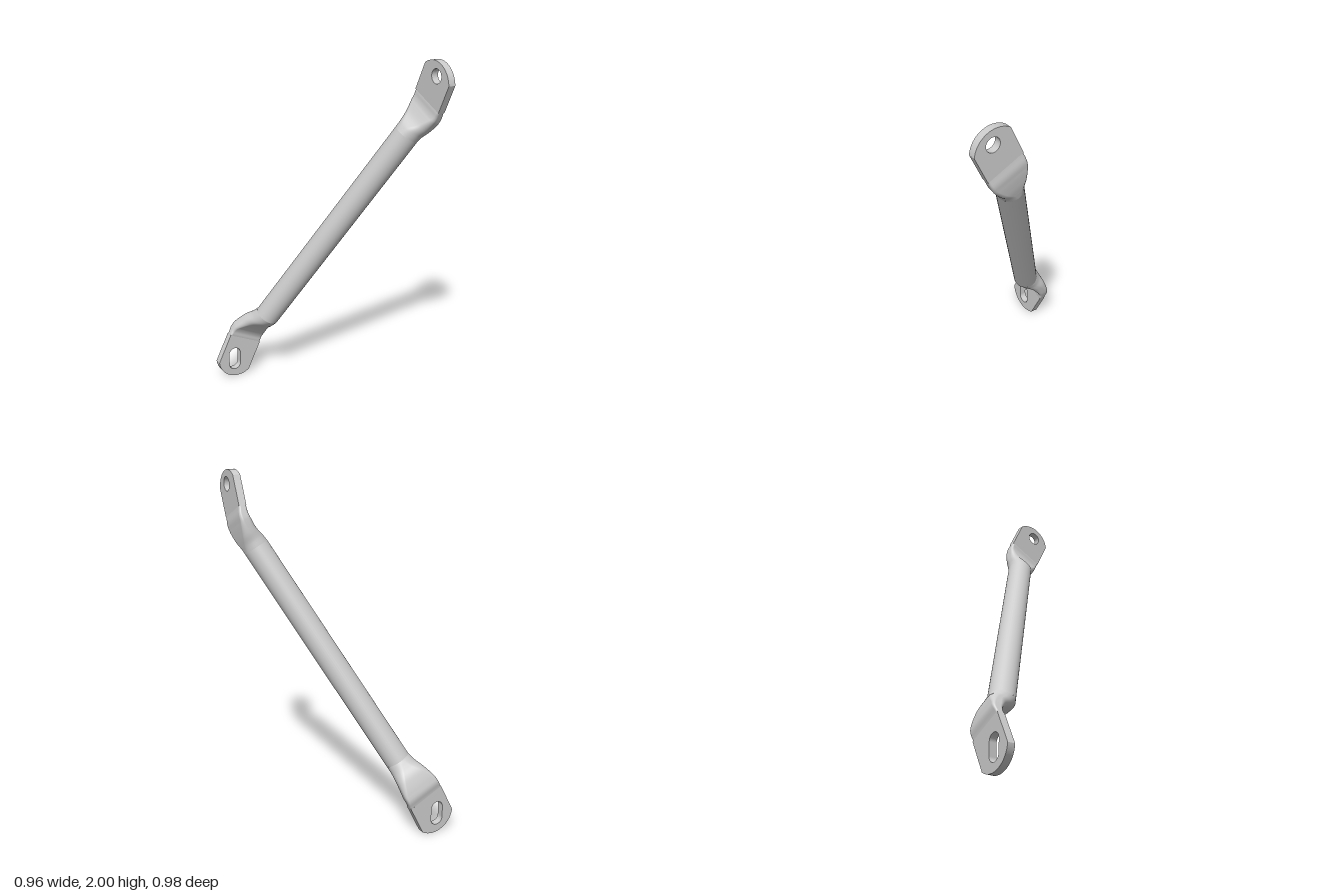
import * as THREE from 'three';

const V = (x, y, z) => new THREE.Vector3(x, y, z);
const RADIUS = 0.0715, HALF_WIDTH = 0.11, HALF_THICK = 0.021;
const TIP_RADIUS = 0.128, NECK = 0.21, SIDES = 40, STEPS = 24;

// tube end -> flat tab: [distance, share of sideways offset, share of tilt], [half width, half depth, corner radius]
const PATH = [[0, 0, 1], [0.034, 0.24, 1.1], [0.08, 0.63, 1.2], [0.145, 0.94, 1.1], [NECK, 1, 0]];
const SECTION = [[RADIUS, RADIUS, RADIUS], [0.076, 0.064, 0.062], [0.092, 0.0465, 0.04],
  [0.108, 0.031, 0.018], [HALF_WIDTH, HALF_THICK, 0.01]];

// squeezed neck, lofted through rounded rectangles along local +y
function neckGeometry(offset, tilt) {
  const path = new THREE.CatmullRomCurve3(PATH.map(p => V(...p)));
  const section = new THREE.CatmullRomCurve3(SECTION.map(p => V(...p)));
  const pos = [], index = [];
  for (let i = 0; i <= STEPS; i++) {
    const p = path.getPoint(i / STEPS), s = section.getPoint(i / STEPS);
    const r = Math.min(s.z, s.y);
    for (let j = 0; j < SIDES; j++) {
      const a = (j + 0.5) / SIDES * Math.PI * 2, c = Math.cos(a), n = Math.sin(a);
      const across = Math.sign(c) * (s.x - r) + r * c;
      const depth = Math.sign(n) * (s.y - r) + r * n;
      const t = tilt * p.z;
      pos.push(across, p.x - depth * Math.sin(t), p.y * offset + depth * Math.cos(t));
      if (i < STEPS) {
        const A = i * SIDES + j, B = i * SIDES + (j + 1) % SIDES;
        index.push(A, B + SIDES, B, A, A + SIDES, B + SIDES);
      }
    }
  }
  const g = new THREE.BufferGeometry();
  g.setAttribute('position', new THREE.Float32BufferAttribute(pos, 3));
  g.setIndex(index);
  g.computeVertexNormals();
  return g;
}

// flat tab with a rounded tip and one round or slotted hole
function tabGeometry(offset, tipCentre, hole) {
  const spread = Math.asin(HALF_WIDTH / TIP_RADIUS), q = Math.PI / 2;
  const shape = new THREE.Shape();
  shape.moveTo(-HALF_WIDTH, NECK);
  shape.lineTo(HALF_WIDTH, NECK);
  shape.absarc(0, tipCentre, TIP_RADIUS, q - spread, q + spread, false);
  shape.closePath();
  const { x, y, angle, radius, half } = hole;
  const dx = Math.cos(angle) * half, dy = Math.sin(angle) * half;
  const cut = new THREE.Path();
  cut.absarc(x + dx, y + dy, radius, angle - q, angle + q, false);
  cut.absarc(x - dx, y - dy, radius, angle + q, angle + 3 * q, false);
  cut.closePath();
  shape.holes.push(cut);
  const g = new THREE.ExtrudeGeometry(shape, { depth: HALF_THICK * 2, bevelEnabled: false, curveSegments: 20 });
  return g.translate(0, 0, offset - HALF_THICK);
}

export function createModel() {
  const model = new THREE.Group();
  const material = new THREE.MeshStandardMaterial({ color: 0xcccccc, side: THREE.DoubleSide });
  const add = (parent, name, geometry) => {
    const mesh = new THREE.Mesh(geometry, material);
    mesh.name = name;
    parent.add(mesh);
    return mesh;
  };

  // straight round tube
  const low = V(-0.2025, 0.425, -0.328), high = V(0.38, 1.59, 0.225);
  const dir = high.clone().sub(low);
  const tube = add(model, 'tube', new THREE.CylinderGeometry(RADIUS, RADIUS, dir.length(), SIDES, 1, true));
  tube.position.copy(low).add(high).multiplyScalar(0.5);
  dir.normalize();
  tube.quaternion.setFromUnitVectors(V(0, 1, 0), dir);

  // each end: local y runs to the tip, local z is the tab's outer normal
  const addEnd = (name, origin, along, normal, offset, tipCentre, holeAt, radius, half) => {
    const end = new THREE.Group();
    end.name = name;
    const y = along.clone().addScaledVector(normal, -along.dot(normal)).normalize();
    const x = y.clone().cross(normal);
    end.quaternion.setFromRotationMatrix(new THREE.Matrix4().makeBasis(x, y, normal));
    end.position.copy(origin);
    const h = holeAt.clone().sub(origin);
    const hole = { x: h.dot(x), y: h.dot(y), angle: Math.atan2(y.y, x.y), radius, half };
    add(end, name + 'Neck', neckGeometry(offset, Math.asin(along.dot(normal))));
    add(end, name + 'Tab', tabGeometry(offset, tipCentre, hole));
    model.add(end);
  };
  addEnd('lowerEnd', low, dir.clone().negate(), V(0, 0, -1), 0.14, 0.332, V(-0.373, 0.12, -0.468), 0.0375, 0.034);
  addEnd('upperEnd', high, dir, V(1, 0, 0), 0.075, 0.312, V(0.455, 1.92, 0.385), 0.039, 0);
  return model;
}
